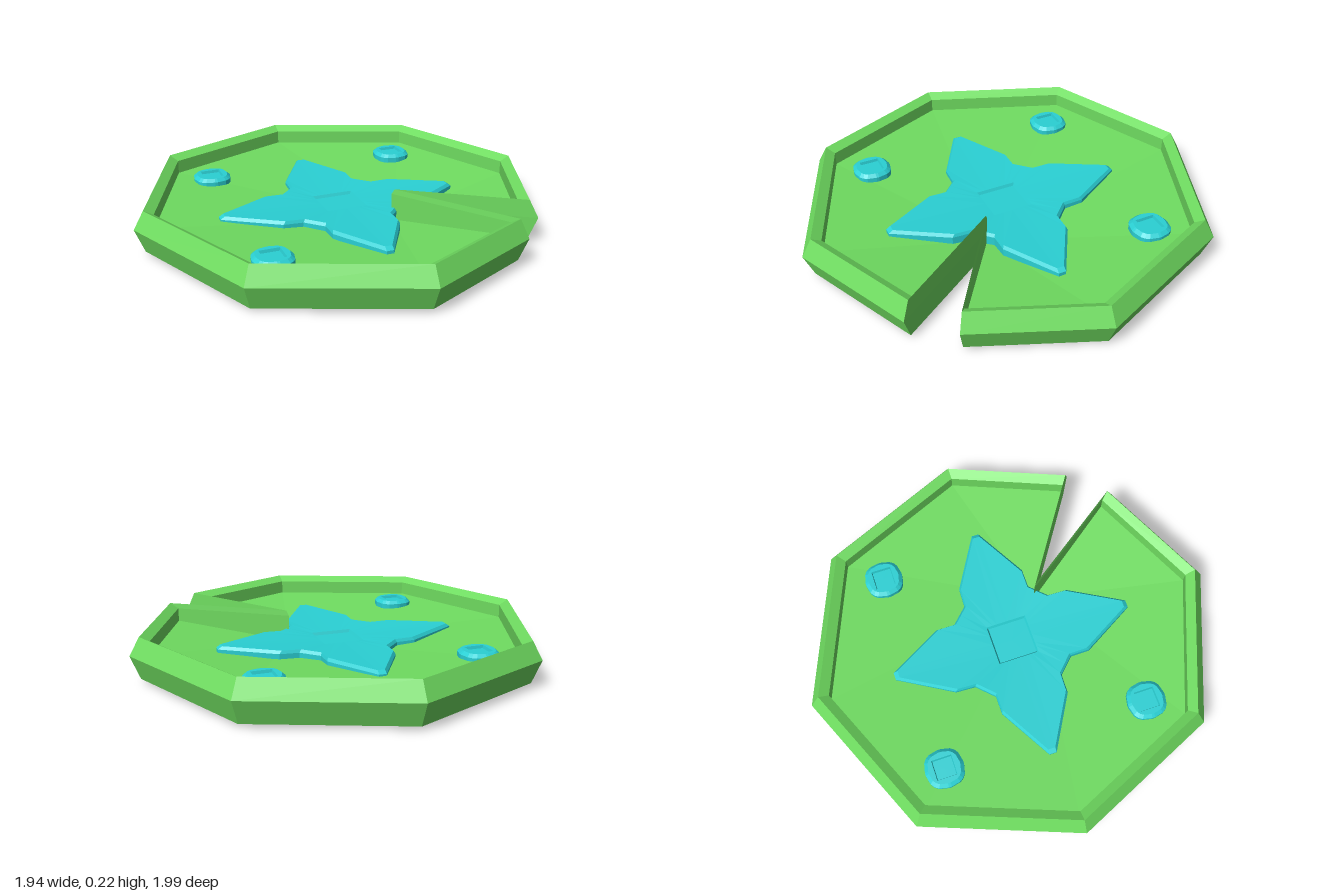
import * as THREE from 'three';

const green = new THREE.MeshStandardMaterial({ color: 0x6fdc60, flatShading: true });
const cyan = new THREE.MeshStandardMaterial({ color: 0x2ad0d4, flatShading: true });

// Skins a stack of rings (bottom to top) and closes both ends with a fan.
function loft(name, material, rings, bottom, top) {
  const pos = [];
  const tri = (a, b, c) => {
    const area = b.clone().sub(a).cross(c.clone().sub(a)).length();
    if (area > 1e-8) for (const p of [a, b, c]) pos.push(p.x, p.y, p.z);
  };
  const n = rings[0].length;
  const last = rings[rings.length - 1];
  for (let i = 0; i < n; i++) {
    const j = (i + 1) % n;
    for (let r = 0; r < rings.length - 1; r++) {
      const lo = rings[r], hi = rings[r + 1];
      tri(lo[i], lo[j], hi[j]);
      tri(lo[i], hi[j], hi[i]);
    }
    tri(bottom, rings[0][j], rings[0][i]);
    tri(top, last[i], last[j]);
  }
  const geo = new THREE.BufferGeometry();
  geo.setAttribute('position', new THREE.Float32BufferAttribute(pos, 3));
  geo.computeVertexNormals();
  const mesh = new THREE.Mesh(geo, material);
  mesh.name = name;
  return mesh;
}

// Repeats a quarter outline of [x, z] points four times around the centre.
function fourfold(quarter) {
  const out = [];
  let pts = quarter;
  for (let k = 0; k < 4; k++) {
    out.push(...pts);
    pts = pts.map(([x, z]) => [z, -x]);
  }
  return out;
}

// Octagonal pad with a wedge notch; every ring shares the notch tip index.
function makePad() {
  const tip = 3, cx = 0.03;
  const outline = [
    [0.05, 0.99], [0.75, 0.69], [0.97, 0.10], [0.32, -0.01], [0.96, -0.14],
    [0.72, -0.72], [0.01, -1], [-0.69, -0.70], [-0.97, 0.01], [-0.66, 0.71],
  ];
  const ring = (s, y, tipY = y) => outline.map(([x, z], i) =>
    new THREE.Vector3(cx + (x - cx) * s, i === tip ? tipY : y, z * s));
  const rings = [
    ring(0.955, 0.017, 0),    // underside, dipping to the notch tip
    ring(1, 0.13),            // widest edge
    ring(0.952, 0.215),       // rim crest
    ring(0.905, 0.19),        // inner lip
    ring(0.905, 0.125, 0.06), // sunken floor
  ];
  return loft('pad', green, rings, rings[0][tip], rings[4][tip]);
}

// Bevelled ornament with a square pit set cornerwise in its top.
function makeOrnament(name, quarter, { base, bevel, inset, pit, depth, height }) {
  const outline = fourfold(quarter);
  const ring = (s, yOf) => outline.map(([x, z]) =>
    new THREE.Vector3(x * s, yOf(Math.hypot(x, z)), z * s));
  const diamond = (radius, y) => outline.map(([x, z]) => {
    const k = radius / (Math.abs(x) + Math.abs(z));
    return new THREE.Vector3(x * k, y, z * k);
  });
  const centreY = height(0);
  const rings = [
    ring(1, () => base),
    ring(1, r => height(r) - bevel),
    ring(1 - inset, height),
    diamond(pit, centreY),
    diamond(pit * 0.93, centreY - depth),
  ];
  return loft(name, cyan, rings,
    new THREE.Vector3(0, base, 0), new THREE.Vector3(0, centreY - depth, 0));
}

export function createModel() {
  const model = new THREE.Group();
  model.name = 'lilyPad';
  model.add(makePad());

  // Four-pointed star flower
  const star = makeOrnament('starFlower', [
    [0, 0.29], [0.055, 0.29], [0.12, 0.355], [0.405, 0.435],
    [0.43, 0.41], [0.355, 0.125], [0.29, 0.055],
  ], {
    base: 0.05, bevel: 0.014, inset: 0.035, pit: 0.14, depth: 0.014,
    height: r => 0.115 + 0.025 * r,
  });
  star.position.x = 0.03;
  model.add(star);

  // Three small rounded buds
  const buds = [['backBud', 0.03, -0.71], ['frontBud', 0.03, 0.705], ['rightBud', -0.68, 0]];
  for (const [name, x, z] of buds) {
    const bud = makeOrnament(name, [
      [0, 0.098], [0.022, 0.094], [0.06, 0.07], [0.07, 0.06], [0.094, 0.022],
    ], {
      base: 0.08, bevel: 0.015, inset: 0.18, pit: 0.068, depth: 0.014,
      height: () => 0.147,
    });
    bud.position.set(x, 0, z);
    model.add(bud);
  }
  return model;
}
